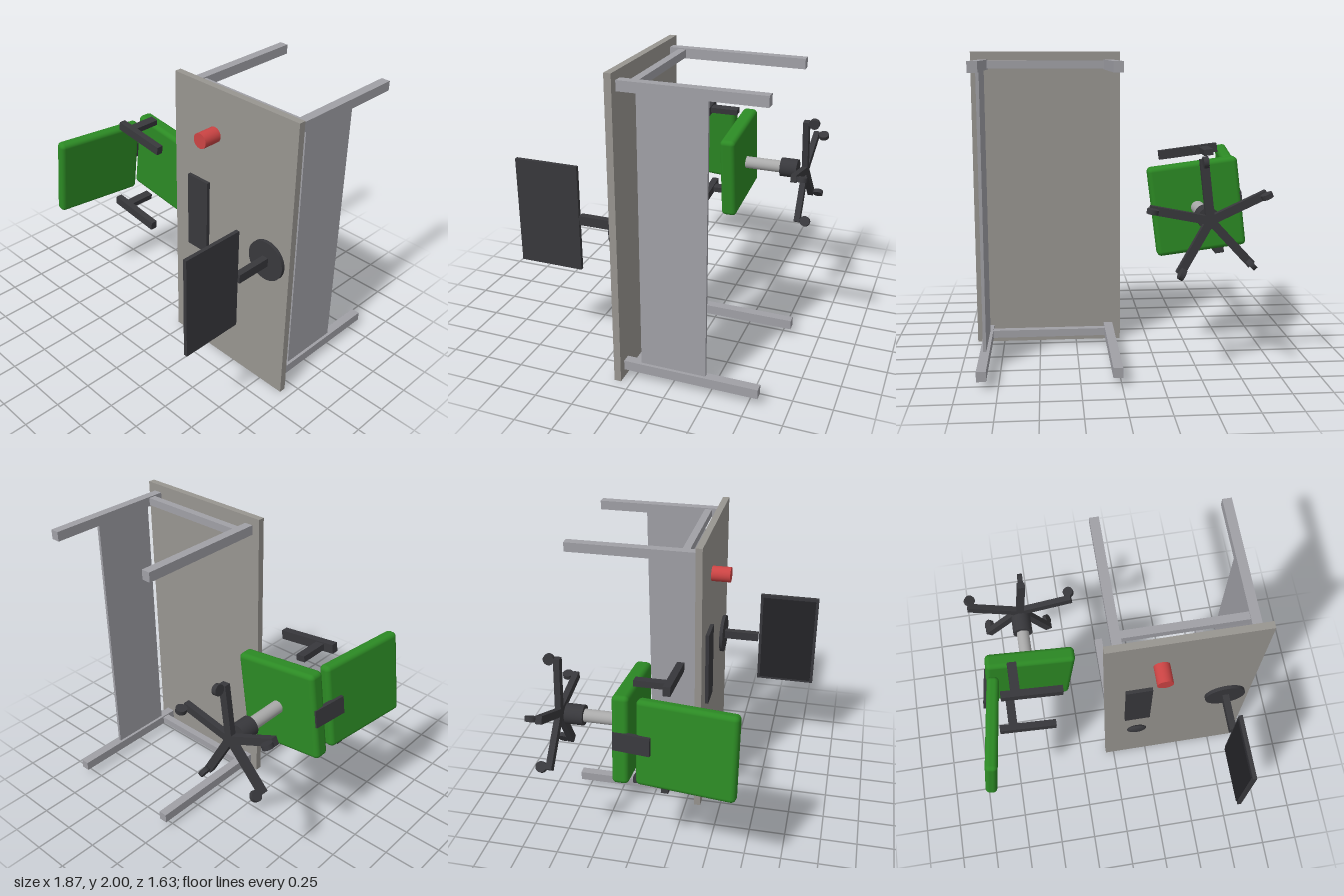
import * as THREE from 'three';
import { RoundedBoxGeometry } from 'three/addons/geometries/RoundedBoxGeometry.js';

const mat = (color) => new THREE.MeshStandardMaterial({ color });
const WOOD = mat(0x989590), STEEL = mat(0xa0a0a6), DARK = mat(0x38383c);
const BLACK = mat(0x242428), GREEN = mat(0x2c8a24), RED = mat(0xcc4444), CHROME = mat(0xaaaaaa);

function add(parent, name, geometry, material, x, y, z) {
  const mesh = new THREE.Mesh(geometry, material);
  mesh.name = name;
  mesh.position.set(x, y, z);
  parent.add(mesh);
  return mesh;
}
const box = (w, h, d) => new THREE.BoxGeometry(w, h, d);
// Cylinder whose axis runs along z, the upright direction of the furniture
const rod = (r, length, sides = 32) => new THREE.CylinderGeometry(r, r, length, sides).rotateX(Math.PI / 2);

function createDesk() {
  const desk = new THREE.Group();
  desk.name = 'desk';
  add(desk, 'deskTop', box(0.995, 2, 0.045), WOOD, 0.438, 1, 0.086);
  for (const y of [0.087, 1.917]) {
    for (const x of [0.025, 0.85]) add(desk, 'deskLeg', box(0.06, 0.064, 0.875), STEEL, x, y, -0.374);
    add(desk, 'endRail', box(0.765, 0.05, 0.05), STEEL, 0.4375, y, -0.02);
  }
  add(desk, 'modestyPanel', box(0.02, 1.766, 0.425), STEEL, 0.85, 1.002, -0.26);
  return desk;
}

function createDesktopItems() {
  const items = new THREE.Group();
  items.name = 'desktopItems';
  // Monitor
  add(items, 'monitorBase', rod(0.137, 0.025, 40), DARK, 0.762, 1.003, 0.12);
  add(items, 'monitorStem', box(0.045, 0.06, 0.255), DARK, 0.762, 1.003, 0.255);
  add(items, 'monitorHousing', box(0.025, 0.695, 0.42), DARK, 0.763, 1.003, 0.6);
  add(items, 'monitorScreen', box(0.01, 0.655, 0.38), BLACK, 0.747, 1.003, 0.6);
  // Keyboard, mouse and mug
  add(items, 'keyboard', box(0.175, 0.535, 0.025), DARK, 0.163, 1.067, 0.12);
  const mouse = add(items, 'mouse', new THREE.SphereGeometry(1, 28, 18), DARK, 0.163, 0.591, 0.135);
  mouse.scale.set(0.07, 0.05, 0.021);
  add(items, 'mug', rod(0.051, 0.127), RED, 0.289, 1.692, 0.173);
  return items;
}

function createChair() {
  const chair = new THREE.Group();
  chair.name = 'chair';
  chair.position.set(-0.535, 1.003, 0);
  chair.rotation.z = -0.129;

  // Cushions; the backrest leans away from the seat
  add(chair, 'seat', new RoundedBoxGeometry(0.59, 0.59, 0.107, 4, 0.03), GREEN, 0, 0, -0.243);
  const back = add(chair, 'backrest', new RoundedBoxGeometry(0.08, 0.57, 0.635, 4, 0.03), GREEN, -0.297, 0, 0.172);
  back.rotation.y = -0.13;
  const bracket = add(chair, 'backBracket', box(0.03, 0.12, 0.24), DARK, -0.3, 0, -0.167);
  bracket.rotation.y = -0.13;

  // Armrests
  for (const side of [-1, 1]) {
    add(chair, 'armPost', box(0.06, 0.04, 0.2), DARK, -0.13, side * 0.332, -0.095);
    add(chair, 'armrest', box(0.4, 0.06, 0.047), DARK, -0.025, side * 0.33, 0.024);
  }

  // Gas lift
  add(chair, 'liftColumn', rod(0.043, 0.27), CHROME, 0, 0, -0.425);
  add(chair, 'liftCollar', rod(0.067, 0.12), DARK, 0, 0, -0.615);

  // Five-armed base with casters
  for (let i = 0; i < 5; i++) {
    const arm = new THREE.Group();
    arm.name = 'baseArm';
    arm.rotation.z = 0.321 + (i * Math.PI * 2) / 5;
    add(arm, 'spoke', box(0.375, 0.052, 0.04), DARK, 0.1875, 0, -0.727);
    add(arm, 'caster', new THREE.CylinderGeometry(0.036, 0.036, 0.03, 24), DARK, 0.362, 0, -0.782);
    chair.add(arm);
  }
  return chair;
}

export function createModel() {
  const model = new THREE.Group();
  model.name = 'officeDeskAndChair';
  model.add(createDesk(), createDesktopItems(), createChair());
  return model;
}
